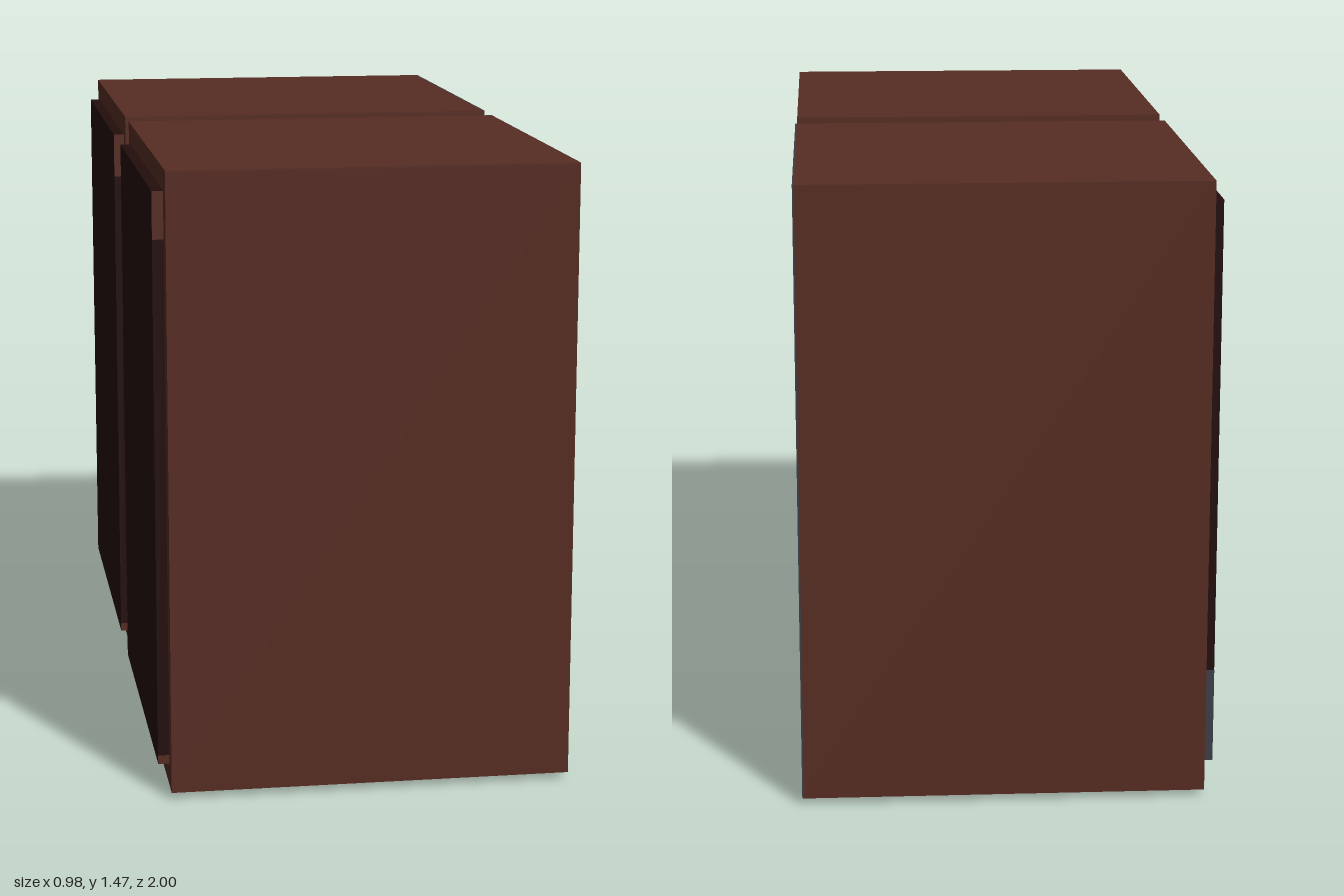
import * as THREE from 'three';

const mat = (name, color, side = THREE.FrontSide) => {
  const m = new THREE.MeshStandardMaterial({ color, side });
  m.name = name;
  return m;
};

export function createModel() {
  const wood = mat('walnut wood', 0x562c22, THREE.DoubleSide);
  const cloth = mat('grille cloth', 0x220d0c);
  const slate = mat('slate grey', 0x3d3d48);
  const rubber = mat('foot rubber', 0x1d2025);

  const X0 = -0.46, X1 = 0.485, Y0 = 0.016, Y1 = 1.472, HALF = 0.4735, T = 0.004;
  const MX = (X0 + X1) / 2, MY = (Y0 + Y1) / 2, W = X1 - X0, H = Y1 - Y0;
  const GY0 = 0.07, GY1 = 1.42, GZ = 0.42, GX = -0.486; // grille limits

  const add = (parent, name, geometry, material, x, y, z) => {
    const mesh = new THREE.Mesh(geometry, material);
    mesh.name = name;
    mesh.position.set(x, y, z);
    parent.add(mesh);
    return mesh;
  };
  const box = (parent, name, material, w, h, d, x, y, z) =>
    add(parent, name, new THREE.BoxGeometry(w, h, d), material, x, y, z);

  function cabinet(name, closed) {
    const g = new THREE.Group();
    g.name = name;

    // Thin hollow shell, open toward +x
    box(g, 'topPanel', wood, W, T, 2 * HALF, MX, Y1 - T / 2, 0);
    box(g, 'bottomPanel', wood, W, T, 2 * HALF, MX, Y0 + T / 2, 0);
    for (const s of [-1, 1])
      box(g, 'sidePanel', wood, W, H - 2 * T, T, MX, MY, s * (HALF - T / 2));

    // Baffle frame with an opening behind the grille
    const frame = new THREE.Shape([
      new THREE.Vector2(-HALF, Y0), new THREE.Vector2(HALF, Y0),
      new THREE.Vector2(HALF, Y1), new THREE.Vector2(-HALF, Y1)]);
    frame.holes.push(new THREE.Path([
      new THREE.Vector2(-GZ, GY0), new THREE.Vector2(-GZ, GY1),
      new THREE.Vector2(GZ, GY1), new THREE.Vector2(GZ, GY0)]));
    const baffle = add(g, 'baffleFrame', new THREE.ShapeGeometry(frame), wood, X0, 0, 0);
    baffle.rotation.y = -Math.PI / 2;

    // Cloth grille standing proud of the baffle
    const depth = X0 - GX, gx = (X0 + GX) / 2;
    box(g, 'grille', cloth, depth, GY1 - GY0, 2 * GZ, gx, (GY0 + GY1) / 2, 0);

    // Edge strips on the grille sides
    const e = 0.002;
    box(g, 'upperEdgeStrip', wood, depth, 0.11, e, gx, 1.365, GZ + e / 2);
    box(g, 'lowerEdgeStrip', wood, depth, 0.02, e, gx, 0.08, GZ + e / 2);
    box(g, 'greyEdgeStrip', slate, depth, 0.225, e, gx, 0.1825, -GZ - e / 2);

    // Rear panel
    if (closed) box(g, 'rearPanel', slate, T, H, 2 * HALF, X1 + T / 2, MY, 0);

    // Round feet
    for (const x of [-0.375, 0.4])
      for (const z of [-0.39, 0.39])
        add(g, 'foot', new THREE.CylinderGeometry(0.04, 0.04, Y0, 20), rubber, x, Y0 / 2, z);
    return g;
  }

  const model = new THREE.Group();
  model.name = 'cabinetPair';
  const open = cabinet('openCabinet', false);
  const closed = cabinet('closedCabinet', true);
  open.position.z = 0.5265;
  closed.position.z = -0.5265;
  model.add(open, closed);
  return model;
}
